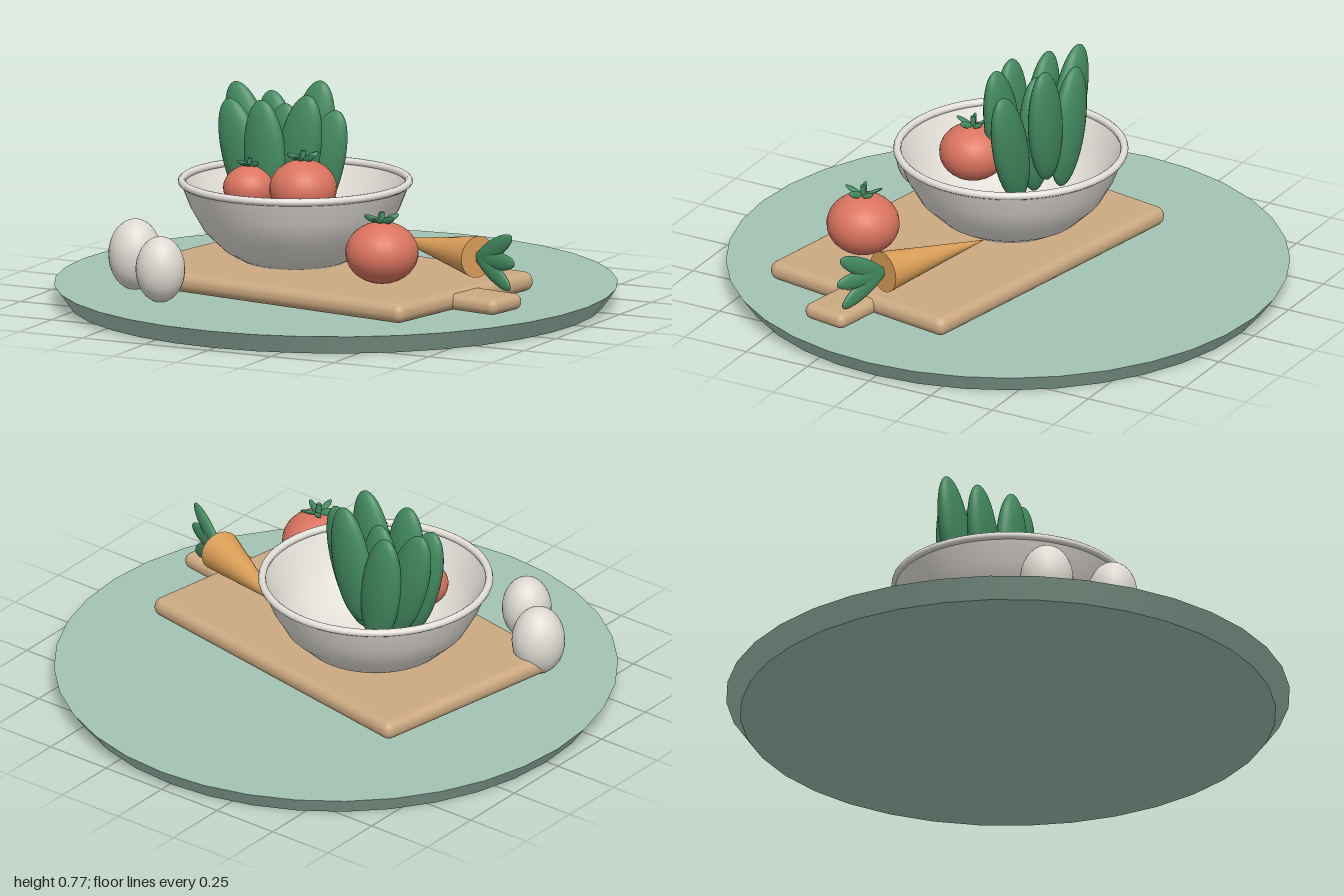
import * as THREE from 'three';
import { RoundedBoxGeometry } from 'three/addons/geometries/RoundedBoxGeometry.js';

const material = (name, color) => {
  const m = new THREE.MeshStandardMaterial({ color });
  m.name = name;
  return m;
};
const V = (x, y, z) => new THREE.Vector3(x, y, z);
const UP = V(0, 1, 0);

export function createModel() {
  const sage = material('sage', 0xa3c4b4);
  const wood = material('wood', 0xcca982);
  const ceramic = material('ceramic', 0xe4e0d9);
  const shell = material('eggshell', 0xdedad2);
  const red = material('tomatoRed', 0xdb7460);
  const orange = material('carrotOrange', 0xdb9f58);
  const green = material('leafGreen', 0x438a60);

  const model = new THREE.Group();
  model.name = 'kitchenStillLife';
  const ball = new THREE.SphereGeometry(1, 28, 20);

  function add(parent, name, geometry, mat, x = 0, y = 0, z = 0) {
    const mesh = new THREE.Mesh(geometry, mat);
    mesh.name = name;
    mesh.position.set(x, y, z);
    parent.add(mesh);
    return mesh;
  }

  // Ellipsoid stretched between two points, w wide and t thick
  function leaf(parent, name, from, to, w, t, yaw = 0) {
    const dir = to.clone().sub(from);
    const mid = from.clone().add(to).multiplyScalar(0.5);
    const mesh = add(parent, name, ball, green, mid.x, mid.y, mid.z);
    mesh.scale.set(w, dir.length() / 2, t);
    mesh.quaternion.setFromUnitVectors(UP, dir.normalize());
    mesh.rotateY(yaw);
    return mesh;
  }

  // Round base with a bevelled side
  add(model, 'baseDisc', new THREE.CylinderGeometry(1, 0.95, 0.07, 36), sage, 0, 0.035, 0);

  // Cutting board with its handle
  const board = new THREE.Group();
  board.name = 'cuttingBoard';
  board.position.set(0.035, 0.116, 0.145);
  board.rotation.y = -0.175;
  model.add(board);
  add(board, 'boardSlab', new RoundedBoxGeometry(1.26, 0.07, 0.8, 4, 0.033), wood);
  add(board, 'boardHandle', new RoundedBoxGeometry(0.26, 0.058, 0.18, 4, 0.027), wood, 0.68, -0.003, 0);

  // Bowl: outer wall, rounded rim, inner wall
  const bowl = new THREE.Group();
  bowl.name = 'bowl';
  bowl.position.set(-0.13, 0, 0.062);
  model.add(bowl);
  const outer = [[0, 0.15], [0.18, 0.15], [0.25, 0.19], [0.325, 0.262], [0.372, 0.345], [0.408, 0.437]];
  const inner = [[0.398, 0.437], [0.355, 0.345], [0.305, 0.268], [0.23, 0.207], [0.13, 0.178], [0, 0.17]];
  const wall = (pts) => new THREE.LatheGeometry(pts.map(([x, y]) => new THREE.Vector2(x, y)), 48);
  add(bowl, 'bowlOutside', wall(outer), ceramic);
  add(bowl, 'bowlInside', wall(inner), ceramic);
  add(bowl, 'bowlRim', new THREE.TorusGeometry(0.403, 0.014, 10, 48).rotateX(Math.PI / 2), ceramic, 0, 0.437, 0);

  // Leafy greens: x, y, z of each tip
  const greens = new THREE.Group();
  greens.name = 'leafyGreens';
  model.add(greens);
  const tips = [
    [-0.31, 0.72, -0.1], [-0.1, 0.775, -0.085], [-0.43, 0.75, -0.05], [0.02, 0.695, 0.02],
    [-0.4, 0.71, 0.058], [-0.06, 0.755, 0.09], [-0.235, 0.73, 0.12], [-0.2, 0.7, 0],
  ];
  tips.forEach(([x, y, z]) =>
    leaf(greens, 'saladLeaf', V(-0.2 + (x + 0.2) * 0.35, y - 0.44, z * 0.85 + 0.003), V(x, y, z), 0.085, 0.045, -0.1));

  // Tomatoes with a five-pointed calyx and stem
  function tomato(x, y, z, r) {
    const g = new THREE.Group();
    g.name = 'tomato';
    g.position.set(x, y, z);
    g.scale.setScalar(r);
    model.add(g);
    add(g, 'tomatoBody', ball, red).scale.set(1, 0.85, 1);
    for (let i = 0; i < 5; i++) {
      const a = (i / 5) * Math.PI * 2 + Math.PI / 2;
      leaf(g, 'calyxLeaf', V(0, 0.82, 0), V(Math.cos(a) * 0.48, 1.02, Math.sin(a) * 0.55), 0.1, 0.05);
    }
    add(g, 'tomatoStem', new THREE.CylinderGeometry(0.07, 0.09, 0.32, 8), green, 0, 0.97, 0);
  }
  tomato(0.375, 0.278, 0.378, 0.13);
  tomato(-0.045, 0.437, 0.168, 0.12);
  tomato(-0.262, 0.418, 0.16, 0.094);

  // Eggs
  [[-0.59, 0.192, 0.41, 0.095], [-0.402, 0.184, 0.582, 0.088]].forEach(([x, y, z, r]) => {
    add(model, 'egg', ball, shell, x, y, z).scale.set(r, r * 1.34, r);
  });

  // Carrot lying on the board, with a fan of three leaves
  const carrot = new THREE.Group();
  carrot.name = 'carrot';
  carrot.position.set(0.638, 0.245, 0.148);
  carrot.rotation.y = -0.41;
  model.add(carrot);
  const root = new THREE.ConeGeometry(0.075, 0.45, 24).rotateZ(Math.PI / 2);
  add(carrot, 'carrotRoot', root, orange, -0.225, 0, 0);
  [[0.19, 0.1], [0.205, 0.005], [0.18, -0.09]].forEach(([x, y]) =>
    leaf(carrot, 'carrotLeaf', V(-0.01, -y * 0.15, 0), V(x, y, 0), 0.034, 0.016));

  return model;
}
